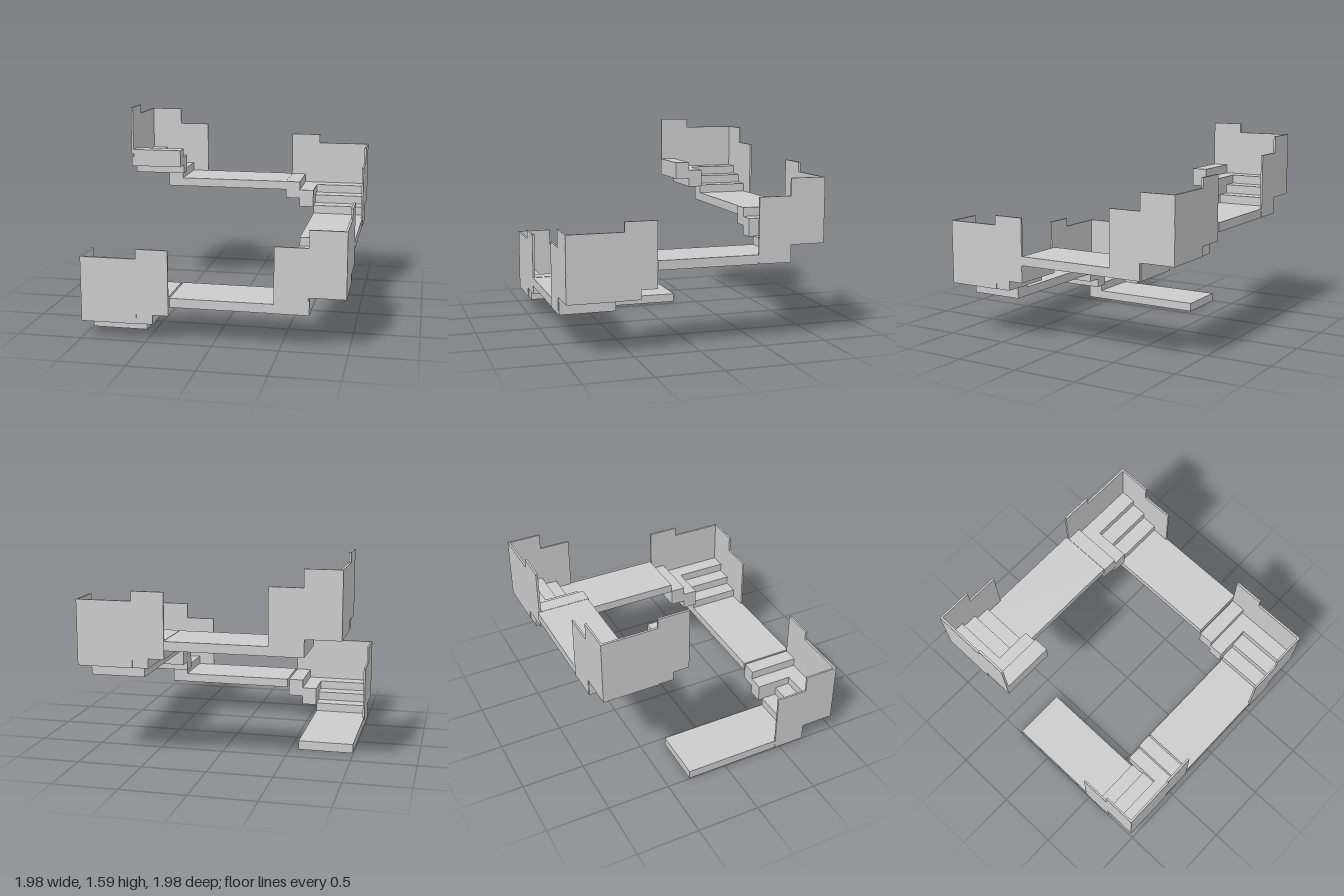
import * as THREE from 'three';

const material = new THREE.MeshStandardMaterial({ color: 0xcccccc, flatShading: true });

// Box given by its [min, max] extents
function block(name, [x0, x1], [y0, y1], [z0, z1]) {
  const mesh = new THREE.Mesh(new THREE.BoxGeometry(x1 - x0, y1 - y0, z1 - z0), material);
  mesh.position.set((x0 + x1) / 2, (y0 + y1) / 2, (z0 + z1) / 2);
  mesh.name = name;
  return mesh;
}

// One flight: a walkway running toward +z, then stairs turning the corner toward +x
function createFlight() {
  const flight = new THREE.Group();
  const outer = -0.985, inner = -0.557, end = 0.978;
  const lane = [outer, inner];      // width while walking along z
  const turned = [-inner, end];     // width after the turn

  flight.add(
    block('walkway', lane, [0, 0.07], [-0.313, 0.718]),
    // steps up to the corner
    block('lowerStep', lane, [0.065, 0.138], [0.595, 0.718]),
    block('middleStep', lane, [0.132, 0.207], [0.718, 0.843]),
    block('landing', lane, [0.132, 0.275], [0.843, end]),
    // steps after the turn
    block('upperStep', [inner, -0.44], [0.132, 0.275], turned),
    block('topStep', [-0.44, -0.32], [0.204, 0.345], turned),
  );

  // stepped side walls, each panel rising with the stairs
  const t = 0.012, h = 0.497;
  const sidePanels = [[0.46, 0.71, 0], [0.71, 0.982, 0.132]];
  for (const [z0, z1, y] of sidePanels)
    flight.add(block('sideWall', [outer - 0.003, outer + t], [y, y + h], [z0, z1]));
  const endPanels = [[outer - 0.002, -0.562, 0.131], [-0.562, -0.318, 0.205]];
  for (const [x0, x1, y] of endPanels)
    flight.add(block('endWall', [x0, x1], [y, y + h], [end - t, end + 0.005]));
  return flight;
}

export function createModel() {
  const model = new THREE.Group();
  model.name = 'squareStaircase';
  // height and slight shift of each quarter turn
  const placements = [
    [-0.01, 0, 0],
    [-0.003, 0.275, 0],
    [-0.002, 0.616, 0.002],
    [0.003, 0.89, -0.006],
  ];
  placements.forEach(([x, y, z], i) => {
    const flight = createFlight();
    flight.name = 'flight' + (i + 1);
    flight.rotation.y = i * Math.PI / 2;
    flight.position.set(x, y, z);
    model.add(flight);
  });
  return model;
}
